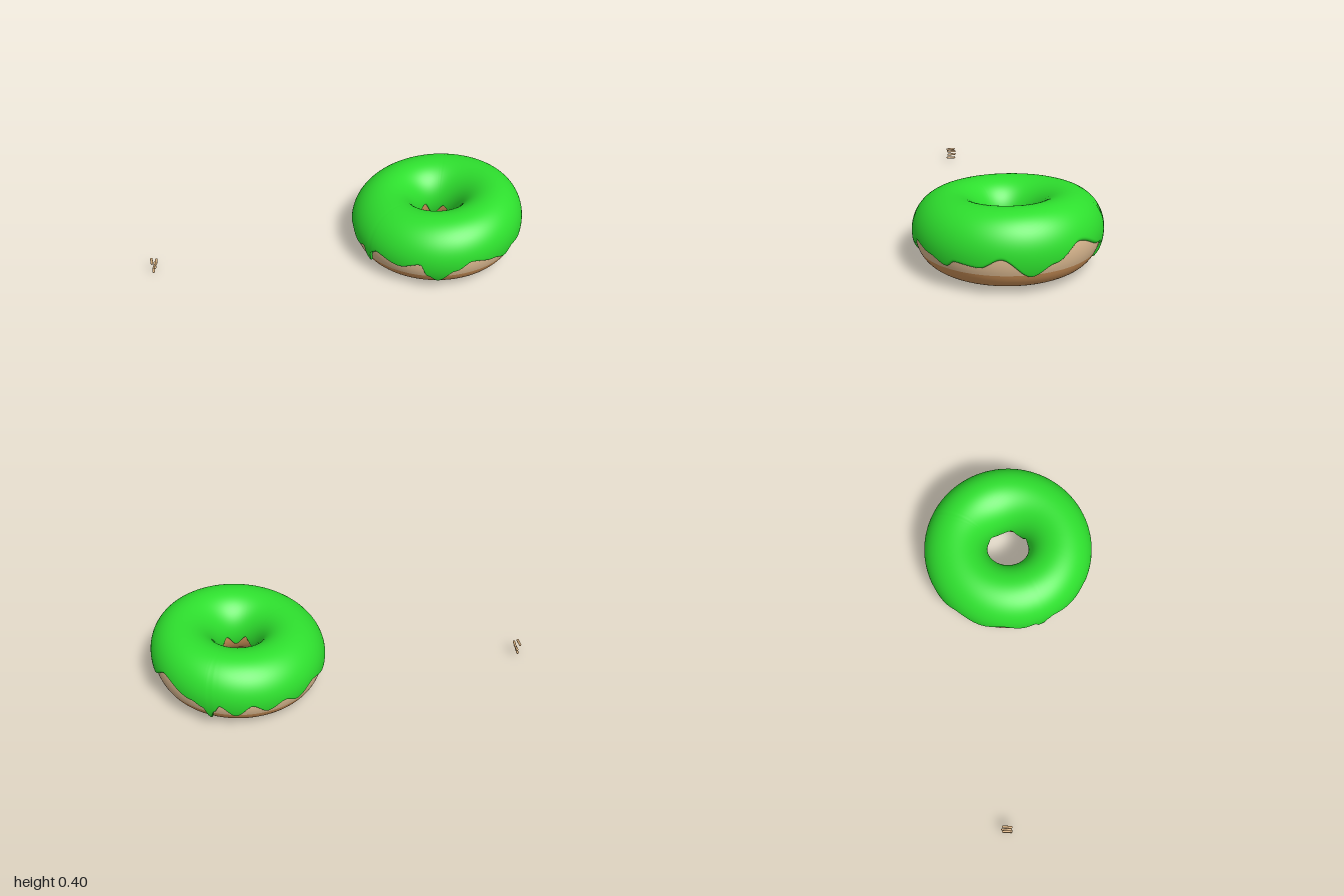
import * as THREE from 'three';

const DEG = Math.PI / 180;
const CX = 0.549, RING = 0.285, CY = 0.186, HALF_W = 0.16, HALF_H = 0.174;

const mat = (name, color) => {
  const m = new THREE.MeshStandardMaterial({ color });
  m.name = name;
  return m;
};

// Point on the slightly tilted ring; theta runs round it, phi round its tube
function ringPoint(theta, phi, offset) {
  const c = Math.cos(phi), s = Math.sin(phi);
  const across = s < 0 && c > 0 ? Math.pow(c, 0.8) : c;
  const r = RING + (HALF_W + offset) * across;
  const x = r * Math.cos(theta);
  return [CX + x, CY + (HALF_H + offset) * s + (0.065 + 0.025 * s) * x, r * Math.sin(theta) * 1.015];
}

// Strip closed around theta; point(theta, j) gives each cross-section
function ringStrip(segments, rows, point) {
  const pos = [], idx = [];
  for (let i = 0; i < segments; i++) {
    for (let j = 0; j <= rows; j++) pos.push(...point((i / segments) * Math.PI * 2, j));
    const a = i * (rows + 1), b = ((i + 1) % segments) * (rows + 1);
    for (let j = 0; j < rows; j++) idx.push(a + j, a + j + 1, b + j, a + j + 1, b + j + 1, b + j);
  }
  const g = new THREE.BufferGeometry();
  g.setAttribute('position', new THREE.Float32BufferAttribute(pos, 3));
  g.setIndex(idx);
  g.computeVertexNormals();
  return g;
}

// Smooth periodic interpolation through [degrees, height] pairs
function edgeHeight(keys, theta) {
  const d = theta / DEG;
  for (let k = 0; k < keys.length; k++) {
    const [a, ha] = keys[k];
    let [b, hb] = keys[(k + 1) % keys.length];
    if (b <= a) b += 360;
    const v = d < a ? d + 360 : d;
    if (v >= a && v <= b) {
      const t = (v - a) / (b - a);
      return ha + (hb - ha) * t * t * (3 - 2 * t);
    }
  }
  return 0.15;
}

// Drip heights of the icing on the outer and the inner side
const OUTER = [
  [17, 0.205], [30, 0.16], [45, 0.168], [52, 0.135], [64, 0.16], [81, 0.182], [92, 0.135],
  [103, 0.064], [110, 0.1], [115, 0.168], [130, 0.132], [148, 0.16], [152, 0.14], [156, 0.06], [161, 0.14],
  [168, 0.12], [184, 0.16], [198, 0.12], [217, 0.16], [232, 0.115], [242, 0.15], [254, 0.115],
  [264, 0.165], [275, 0.105], [285, 0.17], [289, 0.13], [293, 0.065], [296, 0.145],
  [304, 0.175], [328, 0.24], [345, 0.17], [359, 0.12],
];
const INNER = [
  [10, 0.17], [35, 0.11], [60, 0.18], [85, 0.12], [110, 0.17], [128, 0.09], [140, 0.08], [155, 0.17],
  [180, 0.11], [205, 0.17], [230, 0.12], [255, 0.18], [280, 0.11], [305, 0.17], [335, 0.12],
];

export function createModel() {
  const model = new THREE.Group();
  const icingMat = mat('greenIcing', 0x2ee02e);
  const doughMat = mat('brownDough', 0xd0945a);
  const bandMat = mat('paleDough', 0xdebb92);
  const sprinkleMat = mat('tanSprinkle', 0xcfa878);

  const add = (name, geometry, material) => {
    const m = new THREE.Mesh(geometry, material);
    m.name = name;
    model.add(m);
    return m;
  };

  // Baked underside, from inside the hole round to the pale band
  const dough = (from, to, rows) => ringStrip(128, rows,
    (t, j) => ringPoint(t, (from + (to - from) * j / rows) * DEG, 0));
  add('doughBase', dough(-200, -29, 40), doughMat);
  // Pale band and the dough beneath the icing
  add('doughBand', dough(-29, 160, 40), bandMat);

  // Icing with rounded, dripping edges
  const ROWS = 60, THICK = 0.012;
  add('icing', ringStrip(480, ROWS, (t, j) => {
    const tilt = (r) => 0.058 * r * Math.cos(t);
    const angle = (keys, r) => Math.asin(
      THREE.MathUtils.clamp((edgeHeight(keys, t) - CY - tilt(r)) / HALF_H, -0.95, 0.95));
    const start = angle(OUTER, 0.44), end = Math.PI - angle(INNER, 0.125);
    const u = (1 - Math.cos((j / ROWS) * Math.PI)) / 2;
    const phi = start + (end - start) * u;
    const d = Math.min(1, Math.min(phi - start, end - phi) / 0.09);
    const bulge = Math.sqrt(Math.max(0, 1 - (1 - d) * (1 - d)));
    return ringPoint(t, phi, -0.004 + (THICK + 0.004) * bulge);
  }), icingMat);

  // Small cluster of loose sprinkles: x, y, z, yaw, pitch
  const sprinkles = new THREE.Group();
  sprinkles.name = 'sprinkles';
  model.add(sprinkles);
  const rod = new THREE.CapsuleGeometry(0.0065, 0.042, 6, 12).rotateX(Math.PI / 2);
  for (const [x, y, z, yaw, pitch] of [
    [-0.99, 0.073, 0.004, 0.06, 0], [-0.967, 0.066, 0.004, -0.08, 0],
    [-0.976, 0.043, 0, 0.05, 0.04], [-0.984, 0.019, 0.003, -0.06, 0],
  ]) {
    const m = new THREE.Mesh(rod, sprinkleMat);
    m.name = 'sprinkle';
    m.position.set(x, y, z);
    m.rotation.set(pitch, yaw, 0);
    sprinkles.add(m);
  }
  return model;
}
